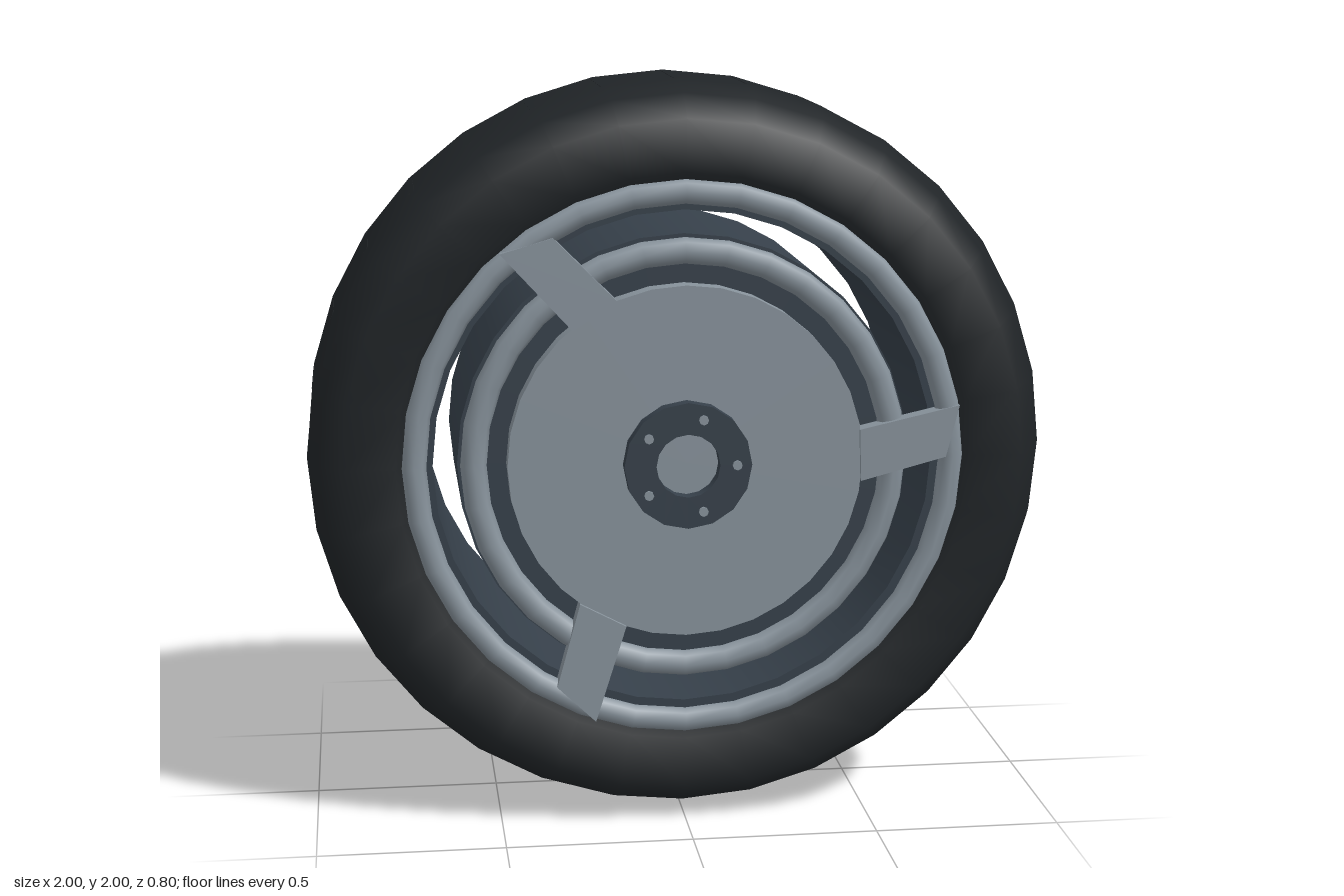
import * as THREE from 'three';
import { toCreasedNormals } from 'three/addons/utils/BufferGeometryUtils.js';

const SEG = 32;
const mat = (color) => new THREE.MeshStandardMaterial({ color });
const rubber = mat(0x202427);
const darkMetal = mat(0x36404a);
const lightMetal = mat(0x87929b);

function add(parent, name, geometry, material) {
  const mesh = new THREE.Mesh(geometry, material);
  mesh.name = name;
  parent.add(mesh);
  return mesh;
}

// Closed ring spun around the wheel axle (z) from [radius, z] points
function spin(points, segments = SEG) {
  const loop = [...points, points[0]].map(([r, z]) => new THREE.Vector2(r, z));
  return new THREE.LatheGeometry(loop, segments).rotateX(Math.PI / 2);
}

// Sharp-edged rectangular ring between two radii and two depths
function band(inner, outer, z0, z1, segments = SEG) {
  const g = spin([[outer, z0], [outer, z1], [inner, z1], [inner, z0]], segments);
  return toCreasedNormals(g, 0.6);
}

function disc(radius, z0, z1, segments = SEG) {
  return new THREE.CylinderGeometry(radius, radius, z1 - z0, segments)
    .rotateX(Math.PI / 2).translate(0, 0, (z0 + z1) / 2);
}

// Slanted arm: a plate from the cover to the rim, with a narrower bracket behind it
function createArm() {
  const arm = new THREE.Group();
  arm.name = 'arm';
  const outline = new THREE.Shape([
    new THREE.Vector2(0.47, -0.06), new THREE.Vector2(0.70, 0.0),
    new THREE.Vector2(0.735, 0.14), new THREE.Vector2(0.465, 0.08),
  ]);
  const plate = new THREE.ExtrudeGeometry(outline, { depth: 0.05, bevelEnabled: false });
  add(arm, 'armPlate', plate.translate(0, 0, 0.312), lightMetal);
  const bracket = add(arm, 'armBracket', new THREE.BoxGeometry(0.2, 0.07, 0.08), lightMetal);
  bracket.position.set(0.6, 0.04, 0.275);
  bracket.rotation.z = 0.23;
  return arm;
}

// Everything visible on one face of the wheel
function createFace() {
  const face = new THREE.Group();
  add(face, 'outerRimRing', new THREE.TorusGeometry(0.72, 0.033, 8, SEG).translate(0, 0, 0.327), lightMetal);
  add(face, 'innerRimRing', new THREE.TorusGeometry(0.563, 0.035, 8, SEG).translate(0, 0, 0.315), lightMetal);
  add(face, 'coverDisc', disc(0.475, 0.27, 0.35), lightMetal);
  add(face, 'hubRing', band(0.085, 0.17, 0.33, 0.392, 16), darkMetal);
  for (let i = 0; i < 5; i++) {
    const a = (i / 5) * Math.PI * 2;
    const bolt = add(face, 'bolt', disc(0.013, 0.38, 0.4, 8), lightMetal);
    bolt.position.set(0.13 * Math.cos(a), 0.13 * Math.sin(a), 0);
  }
  for (let i = 0; i < 3; i++) {
    const arm = createArm();
    arm.rotation.z = (i / 3) * Math.PI * 2;
    face.add(arm);
  }
  return face;
}

export function createModel() {
  const model = new THREE.Group();
  model.name = 'wheel';
  const wheel = new THREE.Group();
  wheel.name = 'wheelAssembly';
  wheel.position.y = 1;
  model.add(wheel);

  // Tyre, with sidewalls that turn in towards the rim
  add(wheel, 'tyre', spin([
    [0.91, -0.355], [0.97, -0.27], [1, -0.18], [1, 0.18], [0.97, 0.27], [0.91, 0.355],
    [0.77, 0.345], [0.7, 0.29], [0.69, 0], [0.7, -0.29], [0.77, -0.345],
  ]), rubber);

  // Thin tread bars across the running surface
  const bar = new THREE.BoxGeometry(0.02, 0.02, 0.3);
  for (let i = 0; i < SEG; i++) {
    const a = (i / SEG) * Math.PI * 2;
    const tread = add(wheel, 'treadBar', bar, rubber);
    tread.position.set(0.99 * Math.sin(a), 0.99 * Math.cos(a), 0);
    tread.rotation.z = -a;
  }

  // Rim barrel and the drum inside it, with an open gap between
  add(wheel, 'rimBarrel', band(0.67, 0.705, -0.31, 0.31), darkMetal);
  add(wheel, 'drum', disc(0.605, -0.29, 0.29), darkMetal);

  const front = createFace();
  front.name = 'frontFace';
  const back = createFace();
  back.name = 'backFace';
  back.scale.z = -1;
  wheel.add(front, back);
  return model;
}
